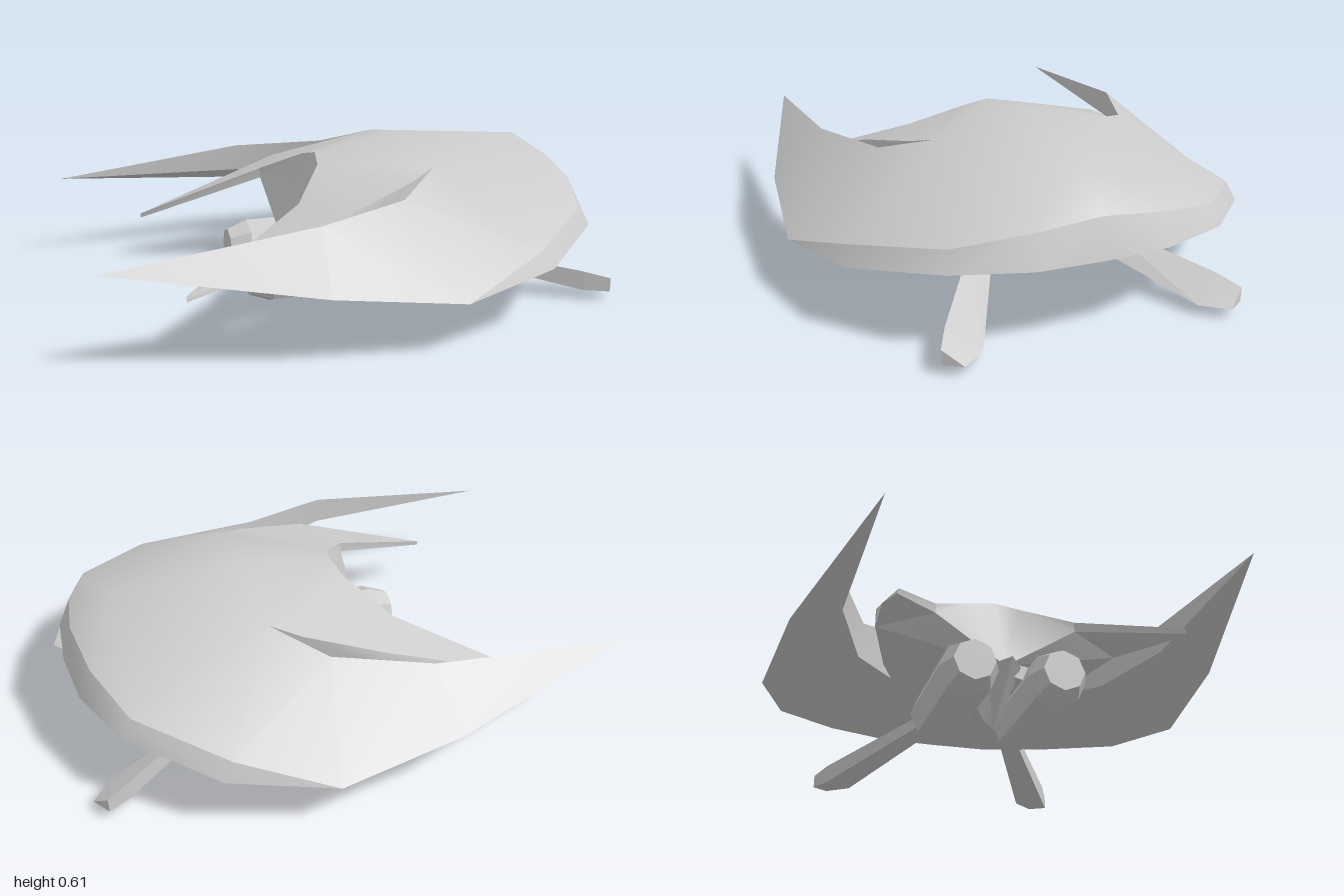
import * as THREE from 'three';
import { toCreasedNormals } from 'three/addons/utils/BufferGeometryUtils.js';
import { ConvexGeometry } from 'three/addons/geometries/ConvexGeometry.js';

const V = (x, y, z) => new THREE.Vector3(x, y, z);

// Key points of one half of the hull (z >= 0); the other half is mirrored.
const P = {
  // lower and upper edge of the front rim, then the wing edge to its tip
  l0: V(0.99, 0.315, 0), l1: V(0.97, 0.31, 0.24), l2: V(0.87, 0.3, 0.5),
  l3: V(0.58, 0.24, 0.76), l4: V(0.2, 0.195, 0.872), l5: V(-0.27, 0.25, 0.825),
  tip: V(-1, 0.35, 0.63),
  u0: V(0.95, 0.455, 0), u1: V(0.92, 0.42, 0.24), u2: V(0.83, 0.37, 0.485), u3: V(0.54, 0.305, 0.74),
  // spine
  t0: V(0.79, 0.56, 0), t1: V(0.28, 0.605, 0), t2: V(-0.07, 0.54, 0),
  // notch and inner wing edge, upper and lower
  n: V(0.29, 0.535, 0.34), i1: V(0.11, 0.465, 0.5), i2: V(-0.24, 0.44, 0.63),
  nb: V(0.29, 0.32, 0.345), i1b: V(0.1, 0.31, 0.515), i2b: V(-0.24, 0.33, 0.635),
  // rear ridge, prong and keel
  r1: V(-0.09, 0.515, 0.1), r2: V(-0.22, 0.42, 0.28), b2: V(-0.22, 0.38, 0.28),
  p1: V(0.18, 0.5, 0.4), p2: V(-0.11, 0.42, 0.49), p3: V(-0.69, 0.2, 0.515),
  p1b: V(0.18, 0.33, 0.4), p2b: V(-0.11, 0.345, 0.49), o: V(-0.5, 0.24, 0.535), p3b: V(-0.69, 0.18, 0.52),
  k: V(-0.21, 0.2, 0),
};

// Each panel: name, the side it faces, its polygons by point name.
const PANELS = [
  ['hullTop', V(0, 1, 0), 't1 t0 n|t0 u0 u1|t0 u1 u2|t0 u2 n|n u2 u3|n u3 i1|i1 u3 l4|i1 l4 i2|i2 l4 l5|' +
    'i2 l5 tip|t2 t1 n r1|r1 n p1|r1 p1 p2|r1 p2 r2|r2 p2 p3'],
  ['frontRim', V(1, 0.3, 1), 'u0 l0 l1 u1|u1 l1 l2 u2|u2 l2 l3 u3|u3 l3 l4'],
  ['underside', V(0, -1, 0), 'k l0 l1|k l1 l2|k l2 nb|nb l2 l3|nb l3 i1b|i1b l3 l4|i1b l4 i2b|i2b l4 l5|' +
    'i2b l5 tip|k nb p1b|k p1b p2b|k p2b b2|b2 p2b o|b2 o p3b'],
  ['wingInnerEdge', V(-0.5, 0, -1), 'n i1 i1b nb|i1 i2 i2b i1b|i2 tip i2b'],
  ['prongOuterEdge', V(0, 0, 1), 'n p1 p1b nb|p1 p2 p2b p1b|p2 p3 o|p2 o p2b|o p3 p3b'],
  ['prongInnerEdge', V(-1, 0, -1), 'r2 p3 p3b b2'],
  ['rearPlate', V(-1, 0, 0), 't2 r1 k|r1 r2 b2|r1 b2 k'],
];

function panelGeometry(facing, list) {
  const pos = [];
  const tri = (a, b, c) => {
    for (const v of [a, b, c]) pos.push(v.x, v.y, v.z);
    for (const v of [a, c, b]) pos.push(v.x, v.y, -v.z);
  };
  for (const face of list.split('|')) {
    const pts = face.split(' ').map((name) => P[name]);
    for (let i = 1; i < pts.length - 1; i++) {
      const [a, b, c] = [pts[0], pts[i], pts[i + 1]];
      const normal = b.clone().sub(a).cross(c.clone().sub(a));
      if (normal.dot(facing) >= 0) tri(a, b, c);
      else tri(a, c, b);
    }
  }
  const g = new THREE.BufferGeometry();
  g.setAttribute('position', new THREE.Float32BufferAttribute(pos, 3));
  return toCreasedNormals(g, 0.9);
}

export function createModel() {
  const model = new THREE.Group();
  const grey = new THREE.MeshStandardMaterial({ color: 0xcccccc, side: THREE.DoubleSide });
  grey.name = 'light grey';
  const add = (name, geometry, parent = model) => {
    const mesh = new THREE.Mesh(geometry, grey);
    mesh.name = name;
    parent.add(mesh);
  };

  // Crescent shell with two wings and two prongs
  const hull = new THREE.Group();
  hull.name = 'crescentHull';
  model.add(hull);
  for (const [name, facing, list] of PANELS) add(name, panelGeometry(facing, list), hull);

  // Central fin tapering down to a point between the engines
  add('keelFin', new ConvexGeometry([
    V(-0.3, 0.2, 0), V(-0.21, 0.2, 0.06), V(-0.21, 0.2, -0.06), V(0.15, 0.21, 0.04), V(0.15, 0.21, -0.04),
    V(-0.08, 0.05, 0.022), V(-0.08, 0.05, -0.022), V(0, 0.05, 0.022), V(0, 0.05, -0.022), V(-0.05, 0, 0),
  ]));

  // Eight-sided engine profile: radius, position along x
  const profile = [[0, -0.39], [0.08, -0.39], [0.112, -0.31], [0.112, 0.175], [0.085, 0.208], [0, 0.208]]
    .map(([r, x]) => new THREE.Vector2(r, x));

  // Triangular leg sections: outer top, outer bottom, inner bottom
  const sections = [
    [V(0.08, 0.21, 0.085), V(0.08, 0.175, 0.085), V(0.11, 0.17, 0.03)],
    [V(0.45, 0.177, 0.265), V(0.45, 0.125, 0.265), V(0.49, 0.112, 0.2)],
    [V(0.86, 0.112, 0.51), V(0.86, 0.036, 0.51), V(0.92, 0.036, 0.4)],
    [V(0.95, 0.09, 0.555), V(0.95, 0.036, 0.555), V(0.995, 0.038, 0.49)],
  ];

  for (const side of [1, -1]) {
    const label = side > 0 ? 'front' : 'back';

    const engine = new THREE.LatheGeometry(profile, 8);
    engine.rotateZ(-Math.PI / 2);
    engine.translate(0, 0.125, side * 0.17);
    add(label + 'Engine', toCreasedNormals(engine, 0.2));

    // Short strut between engine and fin
    add(label + 'EngineMount', new ConvexGeometry([-0.2, 0.1].flatMap((x) => [
      V(x, 0.22, 0), V(x, 0.17, 0), V(x, 0.205, side * 0.14), V(x, 0.15, side * 0.09),
    ])));

    const leg = new THREE.Group();
    leg.name = label + 'Leg';
    model.add(leg);
    for (let i = 0; i < sections.length - 1; i++) {
      const corners = [...sections[i], ...sections[i + 1]].map((v) => V(v.x, v.y, v.z * side));
      add('legSegment', new ConvexGeometry(corners), leg);
    }
  }
  return model;
}
